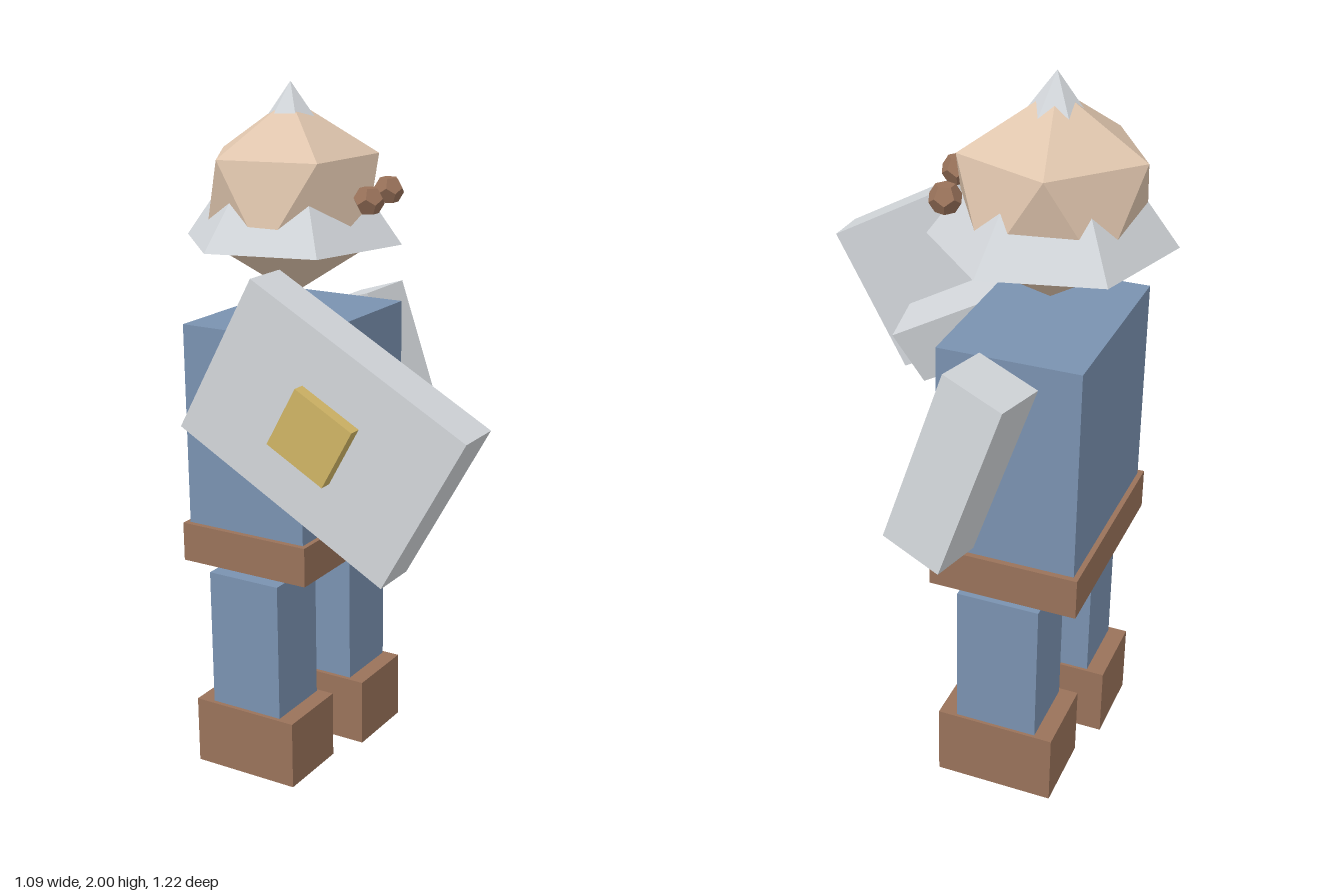
import * as THREE from 'three';

const mat = (name, color) => {
  const m = new THREE.MeshStandardMaterial({ color, flatShading: true });
  m.name = name;
  return m;
};

export function createModel() {
  const steel = mat('steel', 0xd2d6da);
  const cloth = mat('blue cloth', 0x7a92b0);
  const leather = mat('brown leather', 0x99725a);
  const skin = mat('skin', 0xdfc5ad);
  const gold = mat('gold', 0xcfb465);

  const model = new THREE.Group();
  model.name = 'knight';
  const TURN = 0.125; // the whole figure is turned slightly to its left
  const CX = 0.05, CZ = -0.307;

  const add = (name, geometry, material, x, y, z) => {
    const mesh = new THREE.Mesh(geometry, material);
    mesh.name = name;
    mesh.position.set(x, y, z);
    model.add(mesh);
    return mesh;
  };
  const box = (name, material, [w, h, d], [x, y, z], pitch = 0) => {
    const mesh = add(name, new THREE.BoxGeometry(w, h, d), material, x, y, z);
    mesh.rotation.set(pitch, TURN, 0, 'YXZ');
    return mesh;
  };
  // Aims a box by its sideways and lengthwise axes
  const aim = (mesh, side, up) => {
    const y = new THREE.Vector3(...up).normalize();
    const z = new THREE.Vector3(...side).cross(y).normalize();
    const x = new THREE.Vector3().crossVectors(y, z);
    mesh.quaternion.setFromRotationMatrix(new THREE.Matrix4().makeBasis(x, y, z));
  };

  // Torso and belt
  box('torso', cloth, [0.56, 0.6, 0.383], [CX, 1.055, CZ]);
  box('belt', leather, [0.592, 0.115, 0.412], [CX, 0.7125, CZ]);

  // Legs and boots
  for (const [side, s] of [['left', 1], ['right', -1]]) {
    const x = CX + s * 0.1675;
    box(side + 'Leg', cloth, [0.206, 0.435, 0.232], [x, 0.4025, CZ]);
    box(side + 'Boot', leather, [0.228, 0.205, 0.335], [x - 0.002, 0.1025, CZ]);
  }

  // Arms: left hangs down, right reaches forward
  const arm = [0.166, 0.515, 0.178];
  aim(box('leftArm', steel, arm, [0.443, 1.1, -0.27]), [0.996, 0.055, 0.06], [-0.058, 0.95, -0.307]);
  aim(box('rightArm', steel, arm, [-0.296, 1.119, 0.059]), [0.958, -0.18, -0.222], [-0.107, 0.487, -0.867]);

  // Shield held on the right arm, with a raised boss
  const pitch = 0.506;
  box('shield', steel, [0.13, 0.464, 0.673], [-0.432, 1.222, 0.2], pitch);
  box('shieldBoss', gold, [0.05, 0.174, 0.18], [-0.506, 1.222, 0.209], pitch);

  // Head: icosahedron standing on a corner
  const head = new THREE.IcosahedronGeometry(0.273, 0);
  head.rotateX(-Math.atan((1 + Math.sqrt(5)) / 2)).rotateY(0.667);
  add('head', head, skin, 0.048, 1.683, -0.313);

  // Helmet: six-sided cone whose brim and tip show past the head
  const helmet = new THREE.ConeGeometry(0.318, 0.435, 6).rotateY(0.37);
  add('helmet', helmet, steel, 0.05, 1.7825, -0.313);

  // Eyes
  for (const [name, x, z] of [['rightEye', 0.043, -0.038], ['leftEye', 0.235, -0.113]]) {
    const eye = new THREE.DodecahedronGeometry(0.043, 0).rotateX(-0.5536).rotateY(TURN);
    add(name, eye, leather, x, 1.7, z);
  }

  return model;
}
